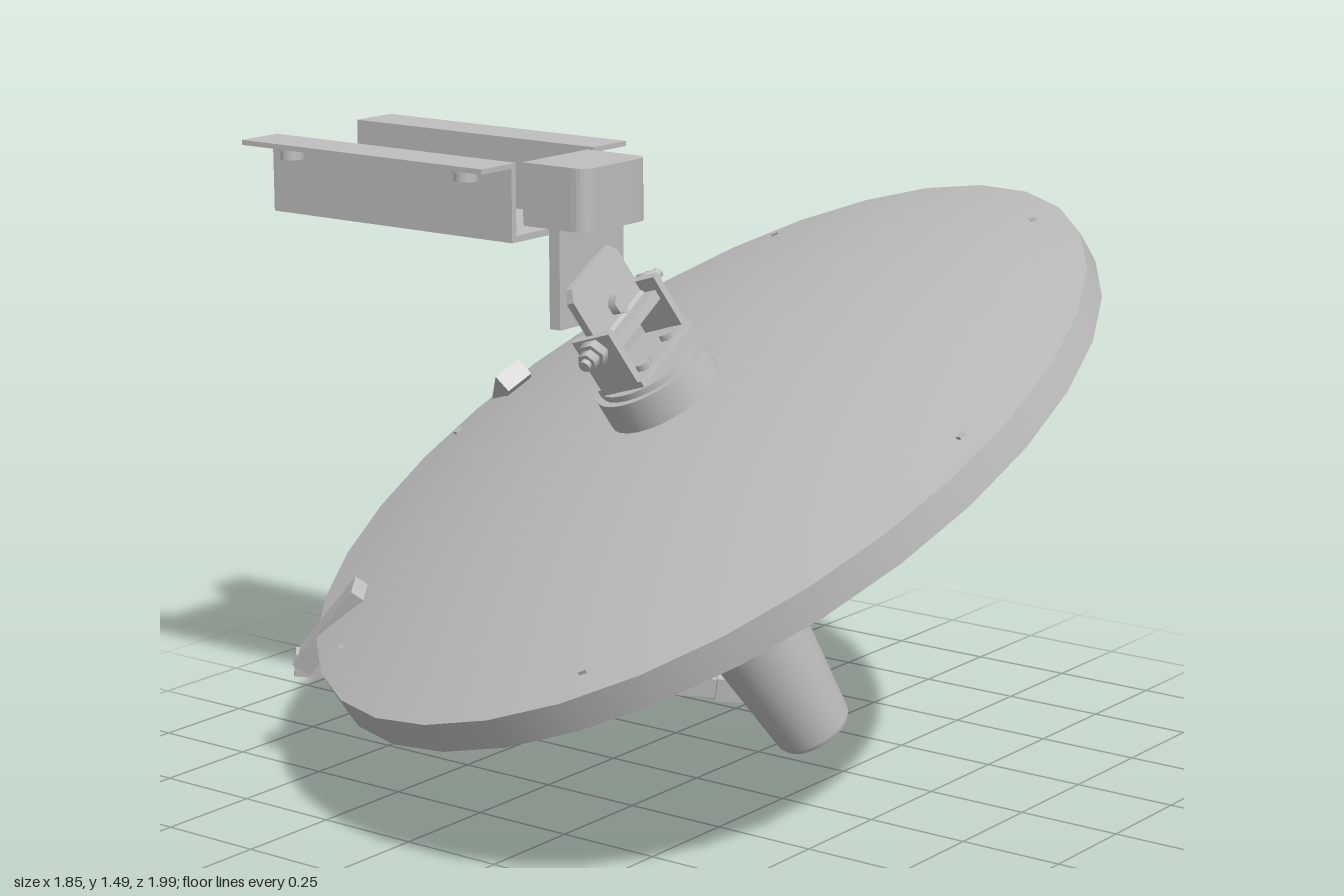
import * as THREE from 'three';

export function createModel() {
  const model = new THREE.Group();
  model.name = 'ceilingDishAntenna';
  const grey = new THREE.MeshStandardMaterial({ color: 0xbfbfbf });
  grey.name = 'light grey';
  const V = (x, y, z) => new THREE.Vector3(x, y, z);

  const add = (parent, geo, name, x = 0, y = 0, z = 0) => {
    const m = new THREE.Mesh(geo, grey);
    m.name = name;
    m.position.set(x, y, z);
    parent.add(m);
    return m;
  };
  const box = (w, h, d) => new THREE.BoxGeometry(w, h, d);
  const cyl = (r, h, n = 16) => new THREE.CylinderGeometry(r, r, h, n);
  const lathe = (pts, n) => new THREE.LatheGeometry(pts.map(p => new THREE.Vector2(p[0], p[1])), n);

  // Tilted frame shared by dish, hub, joint and feed: local +y points to the back of the dish
  const axisY = V(-0.44, 0.856, -0.27).normalize();
  const axisX = V(1, 0, 0).addScaledVector(axisY, -axisY.x).normalize();
  const axisZ = axisX.clone().cross(axisY);
  const tilt = new THREE.Quaternion().setFromRotationMatrix(new THREE.Matrix4().makeBasis(axisX, axisY, axisZ));
  const tilted = (name, x, y, z) => {
    const g = new THREE.Group();
    g.name = name;
    g.position.set(x, y, z);
    g.quaternion.copy(tilt);
    model.add(g);
    return g;
  };

  // Dish: shallow concave face, straight rim and domed back
  const dish = tilted('dish', 0.016, 0.772, 0.02);
  const R = 1.011, rim = 0.077;
  const face = [], back = [];
  for (let i = 0; i <= 8; i++) {
    const t = i / 8;
    face.push([R * t, 0.067 * (1 - t * t)]);
    back.push([R * (1 - t), rim + 0.13 * (1 - (1 - t) ** 2)]);
  }
  add(dish, lathe(face, 32), 'dishFace');
  add(dish, lathe([[R, 0], [R, rim]], 32), 'dishRim');
  add(dish, lathe(back, 32), 'dishBack');

  // Small clips through the shell near the rim
  const first = Math.atan2(-0.22, 0.88);
  for (let i = 0; i < 6; i++) {
    const a = first + i * Math.PI / 3;
    const clip = add(dish, box(0.012, 0.09, 0.02), 'rimClip', 0.94 * Math.cos(a), 0.055, 0.94 * Math.sin(a));
    clip.rotation.y = -a;
    const slit = add(dish, box(0.01, 0.012, 0.2), 'faceClip', 0.925 * Math.cos(a), 0.01, 0.925 * Math.sin(a));
    slit.rotation.y = -a;
  }

  // Hub and swivel yoke
  add(dish, cyl(0.142, 0.22, 28), 'hub', 0, 0.17, 0);
  add(dish, cyl(0.125, 0.02, 28), 'hubCap', 0, 0.285, 0);
  add(dish, box(0.25, 0.02, 0.13), 'yokeBase', 0.02, 0.3, -0.01);
  for (const s of [-1, 1]) {
    const x = 0.02 + s * 0.115;
    add(dish, box(0.02, 0.15, 0.11), 'yokeCheek', x, 0.37, -0.01);
    for (const [dx, r] of [[0.022, 0.035], [0.045, 0.024]])
      add(dish, cyl(r, 0.024, 6), 'rodNut', x + s * dx, 0.41, -0.015).rotation.z = Math.PI / 2;
    add(dish, cyl(0.02, 0.02, 6), 'baseBolt', 0.02 + s * 0.06, 0.315, 0.03);
  }
  add(dish, cyl(0.013, 0.38), 'pivotRod', 0.025, 0.41, -0.015).rotation.z = Math.PI / 2;
  add(dish, box(0.21, 0.025, 0.1), 'swivelFoot', 0.02, 0.4, -0.02);

  // Swivel plate with chamfered upper corners
  const plate = new THREE.Shape([[-0.11, -0.09], [0.11, -0.09], [0.11, 0.06], [0.09, 0.085], [-0.09, 0.085], [-0.11, 0.06]]
    .map(p => new THREE.Vector2(p[0], p[1])));
  add(dish, new THREE.ExtrudeGeometry(plate, { depth: 0.02, bevelEnabled: false }), 'swivelPlate', 0.02, 0.475, -0.03);
  add(dish, cyl(0.026, 0.025, 6), 'swivelBolt', 0.025, 0.45, 0).rotation.x = Math.PI / 2;

  // Hanging plate and mounting block with rounded front corners
  add(model, box(0.235, 0.24, 0.03), 'hangerPlate', -0.178, 1.24, -0.18);
  const b = new THREE.Shape();
  b.moveTo(-0.295, 0.27);
  b.lineTo(-0.295, 0.13);
  b.quadraticCurveTo(-0.295, 0.09, -0.255, 0.09);
  b.lineTo(-0.1, 0.09);
  b.quadraticCurveTo(-0.06, 0.09, -0.06, 0.13);
  b.lineTo(-0.06, 0.27);
  add(model, new THREE.ExtrudeGeometry(b, { depth: 0.145, bevelEnabled: false, curveSegments: 6 }), 'mountBlock', 0, 1.35, 0)
    .rotation.x = -Math.PI / 2;

  // Hat-section ceiling channel, open at the top
  const hat = new THREE.Shape([
    [-0.44, 1.497], [-0.44, 1.485], [-0.335, 1.485], [-0.335, 1.315], [-0.022, 1.315], [-0.022, 1.485],
    [0.085, 1.485], [0.085, 1.497], [-0.037, 1.497], [-0.037, 1.33], [-0.32, 1.33], [-0.32, 1.497],
  ].map(p => new THREE.Vector2(p[0], p[1])));
  add(model, new THREE.ExtrudeGeometry(hat, { depth: 0.73, bevelEnabled: false }), 'ceilingChannel', 0, 0, -1);
  for (const x of [-0.387, 0.027]) for (const z of [-0.36, -0.89]) {
    add(model, cyl(0.028, 0.03), 'channelBolt', x, 1.471, z);
    add(model, cyl(0.035, 0.008), 'boltWasher', x, 1.482, z);
  }

  // Feed: tapered can with a rounded shoulder and a short collar
  const feed = tilted('feed', 0.355, 0.055, 0.095);
  add(feed, lathe([[0, 0], [0.088, 0]], 28), 'feedBottom');
  add(feed, lathe([[0.088, 0], [0.097, 0.015], [0.13, 0.33], [0.127, 0.352], [0.11, 0.368], [0.07, 0.372]], 28), 'feedBody');
  add(feed, cyl(0.072, 0.06, 24), 'feedCollar', 0, 0.39, 0);

  // Straight bar between two points; its local z runs along the bar
  const bar = (parent, p, q, w, h, name) => {
    const m = add(parent, box(w, h, p.distanceTo(q)), name);
    m.up.copy(axisY);
    m.position.copy(p).lerp(q, 0.5);
    m.lookAt(q);
    return m;
  };

  // Feed arms hooked over the back of the rim
  const arms = [
    ['leftArm', V(0.33, 0.2, -0.055), V(0.45, 0.685, -0.945), V(0.285, 0.835, -0.785)],
    ['rightArm', V(0.215, 0.175, -0.04), V(-0.49, 0.27, -0.8), V(-0.45, 0.465, -0.645)],
  ];
  for (const [name, start, elbow, tip] of arms) {
    const arm = new THREE.Group();
    arm.name = name;
    model.add(arm);
    const at = t => elbow.clone().lerp(start, t);
    bar(arm, at(0.27), at(1), 0.03, 0.048, 'armBar');
    bar(arm, at(-0.02), at(0.35), 0.042, 0.058, 'armOuterBar');
    bar(arm, elbow, tip, 0.075, 0.05, 'rimHook');
    bar(arm, at(0.95), at(1.03), 0.05, 0.06, 'feedTab');
    const sleeve = bar(arm, at(0.25), at(0.38), 0.056, 0.072, 'armSleeve');
    for (const y of [-0.018, 0.018]) for (const z of [-0.027, 0.027])
      add(sleeve, cyl(0.01, 0.074, 8), 'sleeveBolt', 0, y, z).rotation.z = Math.PI / 2;
  }
  return model;
}
